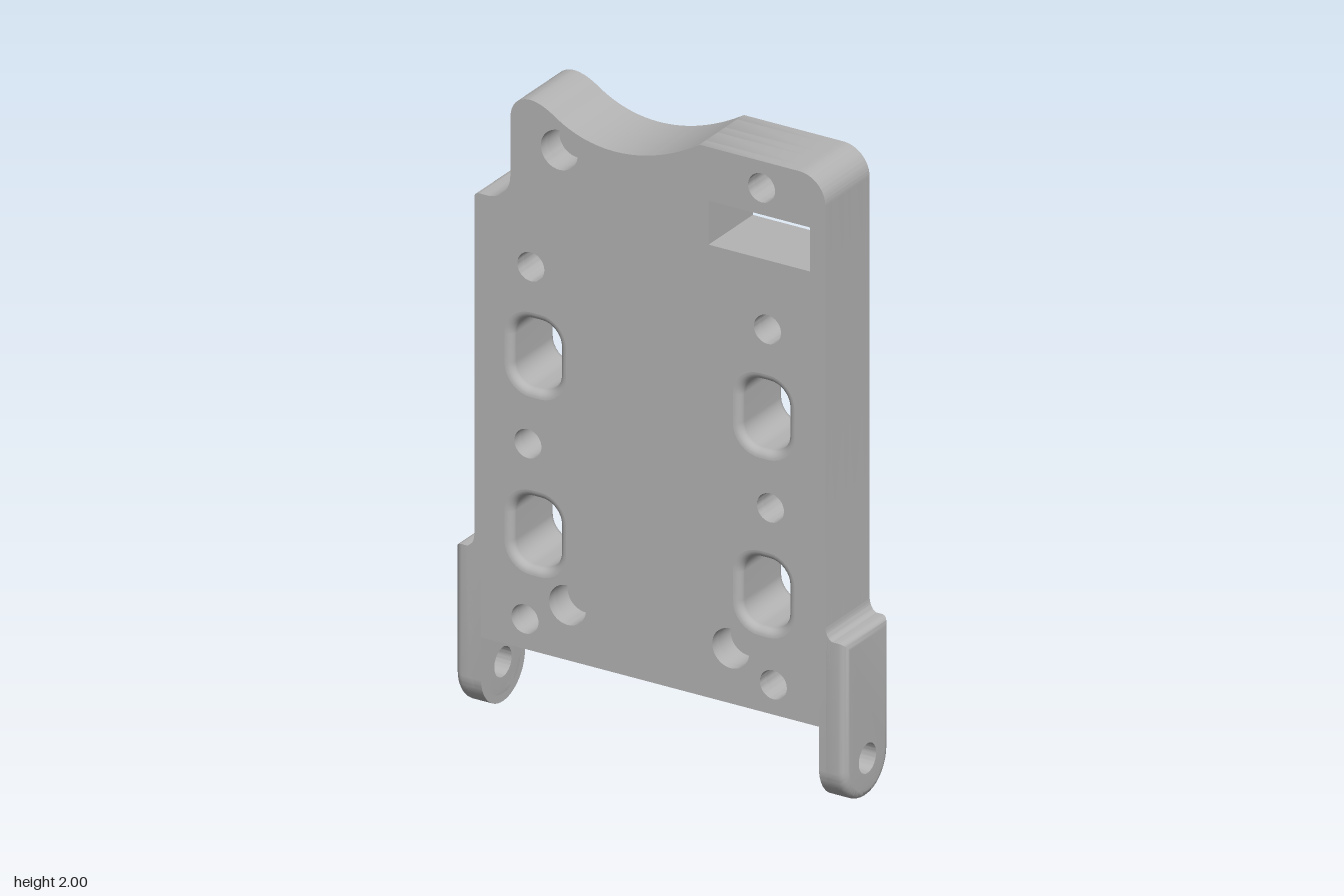
import * as THREE from 'three';
import { toCreasedNormals } from 'three/addons/utils/BufferGeometryUtils.js';

const HALF = 0.12;    // half thickness of the plate
const SKIN = 0.085;   // inner limit of the front and back skins
const CORE = 0.02;    // half thickness of the wall between blind holes
const EDGE = 0.597;   // half width of the plate

const circle = (x, y, r) => new THREE.Path().absarc(x, y, r, 0, Math.PI * 2, true);

function rect(x0, y0, x1, y1) {
  return new THREE.Path([[x0, y0], [x0, y1], [x1, y1], [x1, y0], [x0, y0]]
    .map(p => new THREE.Vector2(...p)));
}

// Counterclockwise points of a rounded rectangle
function roundedRect(cx, cy, hw, hh, r) {
  const pts = [];
  [[1, 1], [-1, 1], [-1, -1], [1, -1]].forEach(([sx, sy], q) => {
    for (let i = 0; i <= 8; i++) {
      const a = (q + i / 8) * Math.PI / 2;
      pts.push(new THREE.Vector2(cx + sx * (hw - r) + r * Math.cos(a), cy + sy * (hh - r) + r * Math.sin(a)));
    }
  });
  return pts;
}

// Plate silhouette; the core layers also carry a channel open at the bottom
function plateShape(channel) {
  const s = new THREE.Shape();
  s.moveTo(-0.62, 0.25);
  if (channel) {
    [[-0.18, 0.25], [-0.18, 1.69], [-0.2, 1.69], [-0.2, 1.83], [0.17, 1.83],
      [0.17, 1.69], [0.13, 1.69], [0.13, 0.25]].forEach(p => s.lineTo(...p));
  }
  s.lineTo(0.62, 0.25);
  s.lineTo(0.62, 0.53);
  s.quadraticCurveTo(EDGE, 0.54, EDGE, 0.578);
  s.lineTo(EDGE, 1.91);
  s.absarc(EDGE - 0.09, 1.91, 0.09, 0, Math.PI / 2, false);
  s.lineTo(0.17, 2);
  s.quadraticCurveTo(0.02, 1.907, -0.12, 1.907);
  s.quadraticCurveTo(-0.23, 1.907, -0.32, 1.965);
  s.quadraticCurveTo(-0.37, 2, -0.41, 2);
  s.quadraticCurveTo(-0.475, 1.995, -0.475, 1.92);
  s.lineTo(-0.475, 1.74);
  s.absarc(-0.555, 1.74, 0.08, 0, -Math.PI / 2, true);
  s.lineTo(-0.58, 1.66);
  s.quadraticCurveTo(-EDGE, 1.66, -EDGE, 1.642);
  s.lineTo(-EDGE, 0.578);
  s.quadraticCurveTo(-EDGE, 0.54, -0.62, 0.53);
  s.closePath();
  return s;
}

const LIP = 0.025;
const windows = [];
for (const x of [-0.39, 0.387]) for (const y of [0.625, 1.19]) windows.push([x, y]);
// Bolt holes: x, y, counterbore radius at the back
const bolts = [[-0.405, 1.47, 0.085], [0.4, 1.47, 0.085], [-0.415, 0.905, 0.062], [0.41, 0.905, 0.062],
  [-0.425, 0.345, 0.085], [0.42, 0.345, 0.085], [0.38, 1.915, 0.046]];
const frontSockets = [[-0.308, 1.865], [-0.28, 0.425], [0.275, 0.425]];
const backSockets = [[-0.308, 1.865]];

// One slice of the plate between two depths
function plateLayer(z0, z1) {
  const back = z1 < 0, front = z0 > 0;
  const s = plateShape(z0 > -HALF && z1 < HALF);
  for (const [x, y] of windows) {
    s.holes.push(new THREE.Path(roundedRect(x, y, 0.08 + LIP, 0.11 + LIP, 0.065 + LIP)));
  }
  for (const [x, y, r] of bolts) s.holes.push(circle(x, y, back ? r : 0.046));
  if (front) for (const [x, y] of frontSockets) s.holes.push(circle(x, y, 0.063));
  if (back) for (const [x, y] of backSockets) s.holes.push(circle(x, y, 0.063));
  s.holes.push(rect(0.2, 1.69, 0.545, 1.83));
  if (z0 === -HALF) s.holes.push(rect(-0.2, 1.69, 0.17, 1.83));
  const g = new THREE.ExtrudeGeometry(s, { depth: z1 - z0, bevelEnabled: false, curveSegments: 20 });
  g.translate(0, 0, z0);
  return toCreasedNormals(g, 0.6);
}

// Window lining with rounded lips at front and back
function liningGeometry(x, y) {
  const sections = [];
  for (let i = 0; i <= 6; i++) {
    const a = i / 6 * Math.PI / 2;
    sections.push([HALF - LIP + LIP * Math.cos(a), LIP * (1 - Math.sin(a))]);
  }
  sections.push(...sections.map(([z, d]) => [-z, d]).reverse());
  const pos = [], idx = [];
  let n = 0;
  sections.forEach(([z, d], k) => {
    const ring = roundedRect(x, y, 0.08 + d, 0.11 + d, 0.065 + d);
    n = ring.length;
    ring.forEach((p, i) => {
      pos.push(p.x, p.y, z);
      if (k === sections.length - 1) return;
      const a = k * n + i, b = k * n + (i + 1) % n;
      idx.push(a, b, a + n, b, b + n, a + n);
    });
  });
  const g = new THREE.BufferGeometry();
  g.setAttribute('position', new THREE.Float32BufferAttribute(pos, 3));
  g.setIndex(idx);
  g.computeVertexNormals();
  return g;
}

// Hinge tab: round-ended, pierced, softened on the outside and square inside
function tabShape() {
  const s = new THREE.Shape();
  s.moveTo(HALF, 0.53);
  s.lineTo(-HALF, 0.53);
  s.lineTo(-HALF, HALF);
  s.absarc(0, HALF, HALF, Math.PI, Math.PI * 2, false);
  s.closePath();
  s.holes.push(circle(0, 0.125, 0.047));
  return s;
}

function tabOuter() {
  const b = 0.025;
  const g = new THREE.ExtrudeGeometry(tabShape(), {
    depth: 0.04, bevelThickness: b, bevelSize: b, bevelOffset: -b, bevelSegments: 5, curveSegments: 24,
  });
  // Keep the pin hole straight through the rounded faces
  const p = g.attributes.position;
  for (let i = 0; i < p.count; i++) {
    const x = p.getX(i), y = p.getY(i) - 0.125, r = Math.hypot(x, y);
    if (r < 0.085) p.setXY(i, x / r * 0.047, 0.125 + y / r * 0.047);
  }
  g.translate(0, 0, 0.6);
  return toCreasedNormals(g, 0.7);
}

function tabInner() {
  const g = new THREE.ExtrudeGeometry(tabShape(), { depth: 0.055, bevelEnabled: false, curveSegments: 24 });
  g.translate(0, 0, 0.575);
  return toCreasedNormals(g, 0.6);
}

export function createModel() {
  const model = new THREE.Group();
  model.name = 'mountingPlate';
  const grey = new THREE.MeshStandardMaterial({ color: 0xb4b4b4 });
  grey.name = 'grey';
  const add = (parent, name, geometry) => {
    const m = new THREE.Mesh(geometry, grey);
    m.name = name;
    parent.add(m);
  };

  // Plate body in slices
  const depths = [-HALF, -SKIN, -CORE, CORE, SKIN, HALF];
  const names = ['backSkin', 'backCore', 'middleWall', 'frontCore', 'frontSkin'];
  names.forEach((name, i) => add(model, name, plateLayer(depths[i], depths[i + 1])));

  // Rounded window linings
  for (const [x, y] of windows) add(model, 'windowLining', liningGeometry(x, y));

  // Hinge tabs on both sides
  for (const side of [1, -1]) {
    const tab = new THREE.Group();
    tab.name = side > 0 ? 'leftHingeTab' : 'rightHingeTab';
    tab.rotation.y = side * Math.PI / 2;
    add(tab, 'tabOuter', tabOuter());
    add(tab, 'tabInner', tabInner());
    model.add(tab);
  }
  return model;
}
